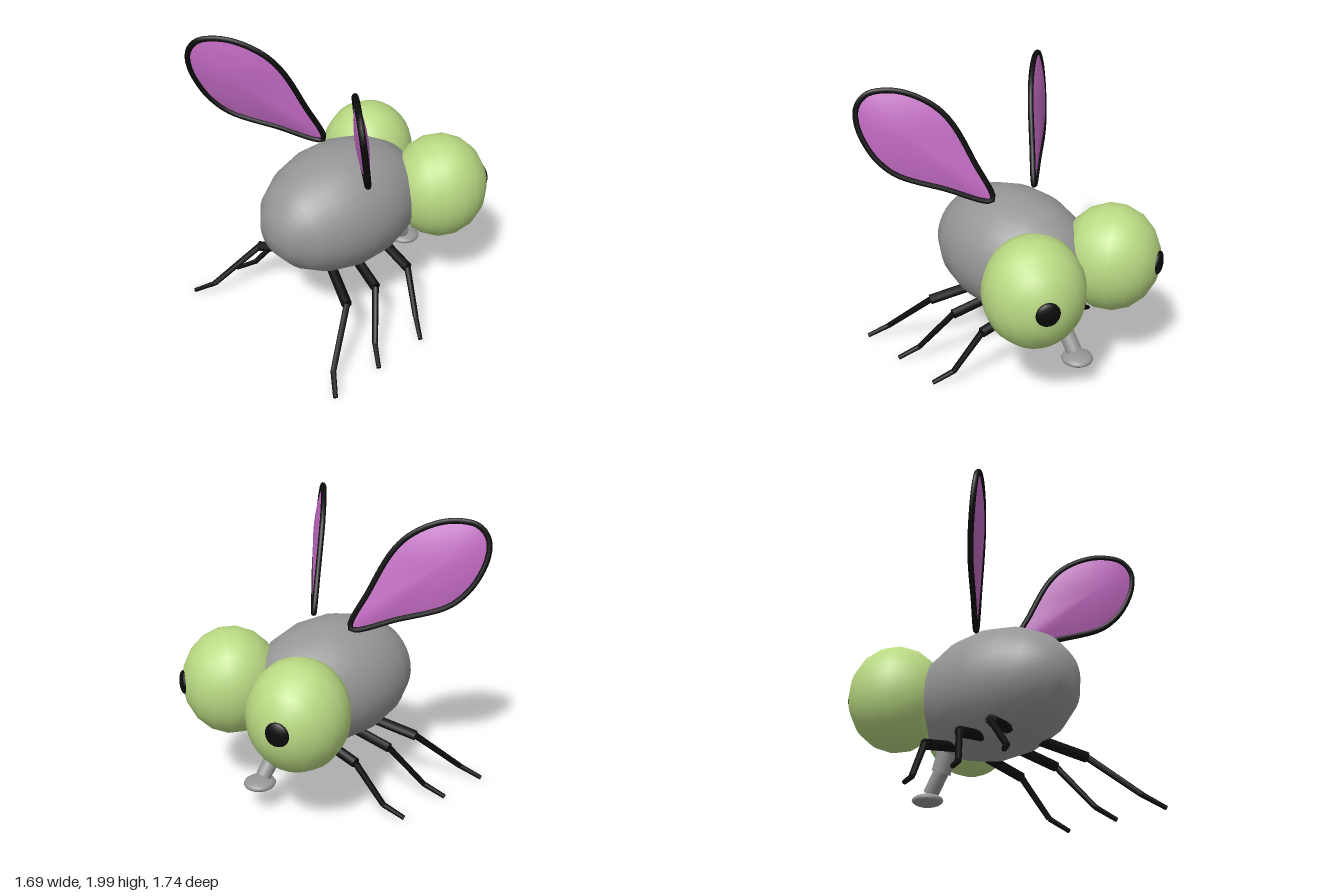
import * as THREE from 'three';

const mat = (name, color) => {
  const m = new THREE.MeshStandardMaterial({ color });
  m.name = name;
  return m;
};
const V = (x, y, z) => new THREE.Vector3(x, y, z);

export function createModel() {
  const root = new THREE.Group();
  root.name = 'fly';
  const grey = mat('bodyGrey', 0x969696);
  const green = mat('eyeGreen', 0xb9d982);
  const purple = mat('wingPurple', 0xc169c1);
  purple.side = THREE.DoubleSide;
  const black = mat('black', 0x0b0b0b);

  const add = (name, geo, material, parent = root) => {
    const mesh = new THREE.Mesh(geo, material);
    mesh.name = name;
    parent.add(mesh);
    return mesh;
  };

  // Cylinder from a to b
  const limb = (name, a, b, ra, rb, material, parent, sides = 8) => {
    const mesh = add(name, new THREE.CylinderGeometry(rb, ra, a.distanceTo(b), sides), material, parent);
    mesh.position.copy(a).add(b).multiplyScalar(0.5);
    mesh.quaternion.setFromUnitVectors(V(0, 1, 0), b.clone().sub(a).normalize());
    return mesh;
  };

  // Sphere with its poles along z and few rings
  const ball = (rx, ry, rz, sides = 32, rings = 9) =>
    new THREE.SphereGeometry(1, sides, rings).rotateX(Math.PI / 2).scale(rx, ry, rz);

  // Body
  add('body', ball(0.457, 0.439, 0.64), grey).position.set(0, 0.812, 0.08);

  // Mouth: two tubes and a flat pad
  const mouth = new THREE.Group();
  mouth.name = 'mouth';
  root.add(mouth);
  limb('upperMouthTube', V(0, 0.58, -0.37), V(0, 0.385, -0.455), 0.07, 0.068, grey, mouth, 20);
  limb('lowerMouthTube', V(0, 0.42, -0.43), V(0, 0.255, -0.555), 0.054, 0.054, grey, mouth, 20);
  add('mouthPad', new THREE.SphereGeometry(1, 24, 10).scale(0.108, 0.041, 0.112), grey, mouth)
    .position.set(0, 0.214, -0.585);

  // Wing outline in x and y, lying on a slanted plane
  const outline = [
    [0.19, 1.235], [0.26, 1.5], [0.345, 1.755], [0.42, 1.87], [0.54, 1.955], [0.65, 1.98],
    [0.755, 1.955], [0.815, 1.87], [0.825, 1.75], [0.79, 1.6], [0.74, 1.5], [0.66, 1.415], [0.43, 1.32],
  ];
  const onPlane = (s, x, y) => V(s * x, y, 0.08 + 0.82 * (x - 0.2) + 0.16 * (y - 1.23));

  const membrane = (s, curve) => {
    const n = 64, rings = 6, pos = [], idx = [];
    const rim = curve.getPoints(n).slice(0, n);
    const centre = onPlane(s, 0.61, 1.7);
    const normal = V(-0.82 * s, -0.16, 1).normalize();
    for (const face of [1, -1]) {
      const base = pos.length / 3;
      for (let r = 0; r <= rings; r++) {
        const k = r / rings;
        for (const p of rim) {
          const q = p.clone().lerp(centre, k).addScaledVector(normal, face * 0.04 * (1 - (1 - k) ** 2));
          pos.push(q.x, q.y, q.z);
        }
      }
      for (let r = 0; r < rings; r++) for (let i = 0; i < n; i++) {
        const a = base + r * n + i, b = base + r * n + (i + 1) % n, c = a + n, d = b + n;
        // Outline runs clockwise seen from +z on the left side
        if (face * s < 0) idx.push(a, b, d, a, d, c);
        else idx.push(a, d, b, a, c, d);
      }
    }
    const g = new THREE.BufferGeometry();
    g.setAttribute('position', new THREE.Float32BufferAttribute(pos, 3));
    g.setIndex(idx);
    g.computeVertexNormals();
    return g;
  };

  // Leg z positions: hip, knee, ankle, toe
  const legs = {
    front: [-0.155, -0.12, -0.025, 0.055],
    middle: [0.12, 0.2, 0.38, 0.465],
    rear: [0.33, 0.47, 0.765, 0.86],
  };

  for (const [side, s] of [['left', 1], ['right', -1]]) {
    // Eye looking outward, with its pupil
    const eye = new THREE.Group();
    eye.name = side + 'Eye';
    eye.position.set(s * 0.357, 0.853, -0.53);
    eye.rotation.y = Math.PI - s * 0.47;
    root.add(eye);
    add('eyeball', ball(0.34, 0.378, 0.34), green, eye);
    add('pupil', ball(0.08, 0.083, 0.03, 24, 8), black, eye).position.set(0, 0.017, 0.33);

    // Wing
    const wing = new THREE.Group();
    wing.name = side + 'Wing';
    root.add(wing);
    const curve = new THREE.CatmullRomCurve3(outline.map(([x, y]) => onPlane(s, x, y)), true);
    add('wingMembrane', membrane(s, curve), purple, wing);
    add('wingRim', new THREE.TubeGeometry(curve, 80, 0.02, 8, true), black, wing);

    // Legs
    for (const [name, [z0, z1, z2, z3]] of Object.entries(legs)) {
      const leg = new THREE.Group();
      leg.name = side + name[0].toUpperCase() + name.slice(1) + 'Leg';
      root.add(leg);
      const hip = V(s * 0.16, 0.46, z0), knee = V(s * 0.46, 0.388, z1);
      const ankle = V(s * 0.64, 0.105, z2), toe = V(s * 0.762, 0.024, z3);
      limb('thigh', hip, knee, 0.036, 0.036, black, leg);
      limb('shin', knee, ankle, 0.023, 0.02, black, leg);
      limb('foot', ankle, toe, 0.019, 0.016, black, leg);
    }
  }
  return root;
}
